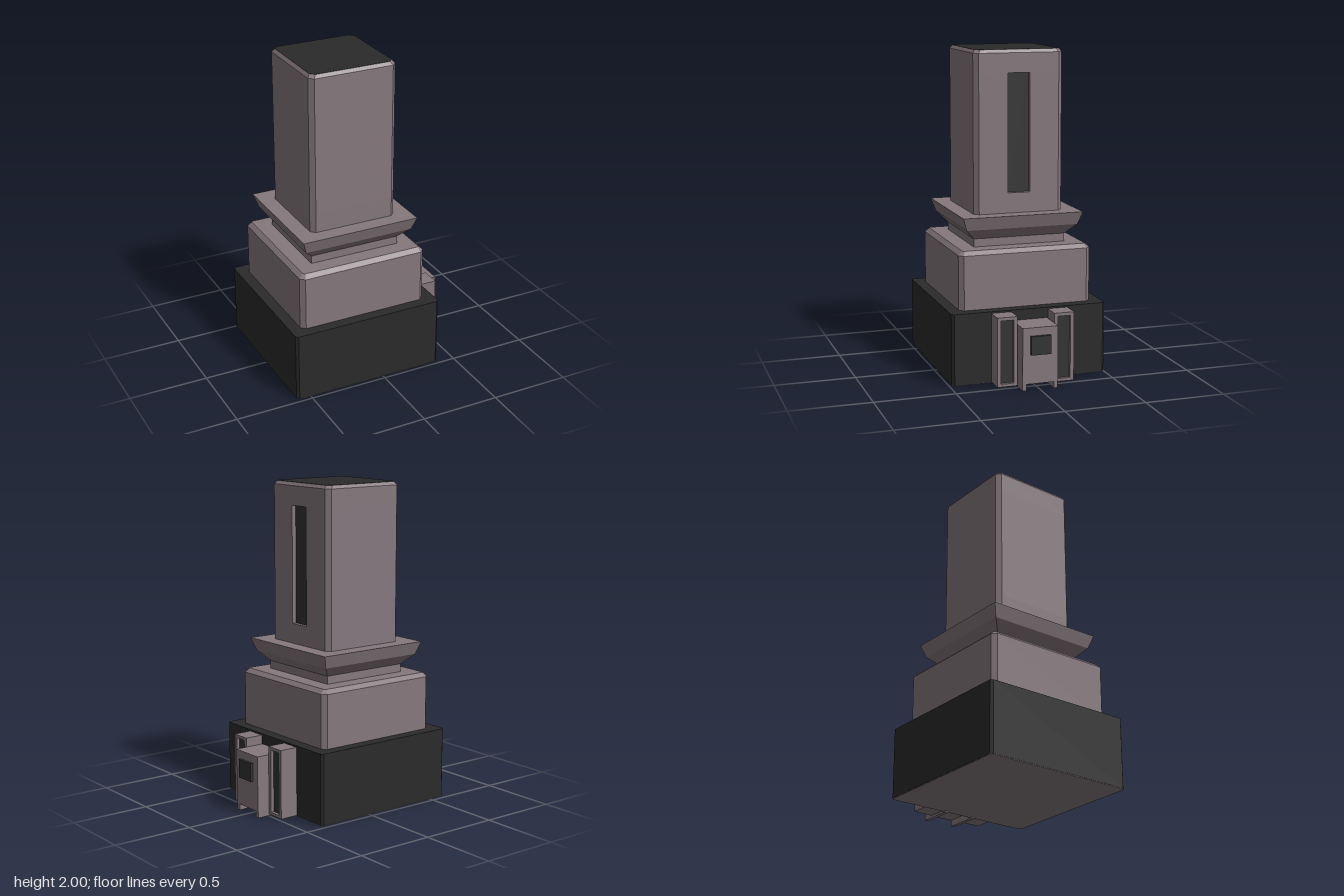
import * as THREE from 'three';

const mat = (color) => new THREE.MeshStandardMaterial({ color, flatShading: true });
const mauve = mat(0x85787d), dark = mat(0x2a2a2a), panel = mat(0x333333);

// Square outline with cut corners, counter-clockwise
function outline(h, c) {
  if (c === 0) return [[h, -h], [h, h], [-h, h], [-h, -h]];
  const i = h - c;
  return [[h, -i], [h, i], [i, h], [-i, h], [-h, i], [-h, -i], [-i, -h], [i, -h]];
}

// Stack of square sections, each [half width, y, corner cut], closed at both ends
function loft(sections) {
  const rings = sections.map(([h, y, c]) => outline(h, c).map(([x, z]) => [x, y, z]));
  const n = rings[0].length, pos = [];
  const tri = (a, b, c) => pos.push(...a, ...b, ...c);
  for (let r = 0; r < rings.length - 1; r++) {
    for (let i = 0; i < n; i++) {
      const j = (i + 1) % n, lo = rings[r], hi = rings[r + 1];
      tri(lo[i], hi[i], hi[j]);
      tri(lo[i], hi[j], lo[j]);
    }
  }
  const first = rings[0], last = rings[rings.length - 1];
  for (let i = 1; i < n - 1; i++) {
    tri(first[0], first[i], first[i + 1]);
    tri(last[0], last[i + 1], last[i]);
  }
  const g = new THREE.BufferGeometry();
  g.setAttribute('position', new THREE.Float32BufferAttribute(pos, 3));
  g.computeVertexNormals();
  return g;
}

function add(parent, name, geometry, material) {
  const m = new THREE.Mesh(geometry, material);
  m.name = name;
  parent.add(m);
  return m;
}

// Box given by its limits
function box(parent, name, material, x0, x1, y0, y1, z0, z1) {
  const m = add(parent, name, new THREE.BoxGeometry(x1 - x0, y1 - y0, z1 - z0), material);
  m.position.set((x0 + x1) / 2, (y0 + y1) / 2, (z0 + z1) / 2);
  return m;
}

export function createModel() {
  const model = new THREE.Group();
  model.name = 'towerDevice';

  // Square column, offset to make room for the side fittings
  const column = new THREE.Group();
  column.name = 'column';
  column.position.x = -0.107;
  model.add(column);

  add(column, 'base', loft([[0.49, 0.012, 0.015], [0.49, 0.45, 0.015]]), dark);
  add(column, 'basePlate', loft([[0.488, 0.008, 0.015], [0.488, 0.013, 0.015]]), mauve);
  add(column, 'lowerBlock', loft([[0.42, 0.44, 0.028], [0.42, 0.785, 0.028], [0.393, 0.81, 0.012]]), mauve);
  add(column, 'flaredCollar',
    loft([[0.292, 0.80, 0], [0.292, 0.86, 0], [0.355, 0.925, 0], [0.382, 1.005, 0]]), mauve);

  // Tower in three levels; the middle one is notched for the window slot
  const h = 0.282, cut = 0.028, y0 = 1.13, y1 = 1.86, slot = 0.07, depth = 0.03;
  add(column, 'towerLower', loft([[h, 0.99, cut], [h, y0, cut]]), mauve);
  add(column, 'towerUpper', loft([[h, y1, cut], [h, 1.98, cut], [0.267, 2.0, 0.028]]), mauve);
  const plan = outline(h, cut);
  plan.splice(1, 0, [h, -slot], [h - depth, -slot], [h - depth, slot], [h, slot]);
  const middle = new THREE.ExtrudeGeometry(
    new THREE.Shape(plan.map(([x, y]) => new THREE.Vector2(x, y))),
    { depth: y1 - y0, bevelEnabled: false });
  middle.rotateX(-Math.PI / 2).translate(0, y0, 0);
  add(column, 'towerMiddle', middle, mauve);
  box(column, 'windowSlot', panel, h - depth - 0.01, h - depth + 0.003, y0, y1, -slot, slot);
  add(column, 'towerCap', loft([[0.266, 1.995, 0.028], [0.266, 2.001, 0.028]]), dark);

  // Fittings on the +x side
  const fittings = new THREE.Group();
  fittings.name = 'sideFittings';
  model.add(fittings);

  for (const s of [-1, 1]) {
    // Post with a recessed panel, drawn in the z-y plane and extruded along x
    const post = new THREE.Group();
    post.name = s > 0 ? 'frontPost' : 'backPost';
    post.position.z = s * 0.18;
    fittings.add(post);
    const rect = (w, a, b) => [[-w, a], [w, a], [w, b], [-w, b]].map(([x, y]) => new THREE.Vector2(x, y));
    const shape = new THREE.Shape(rect(0.063, 0.012, 0.44));
    shape.holes.push(new THREE.Path(rect(0.04, 0.03, 0.42)));
    const frame = new THREE.ExtrudeGeometry(shape, { depth: 0.13, bevelEnabled: false });
    frame.rotateY(Math.PI / 2).translate(0.37, 0, 0);
    add(post, 'postFrame', frame, mauve);
    box(post, 'postPanel', panel, 0.375, 0.48, 0.03, 0.42, -0.04, 0.04);

    // Thin skid under the central housing
    const z = s * 0.099;
    box(fittings, 'skid', mauve, 0.36, 0.575, 0, 0.045, z - 0.012, z + 0.012);
  }

  box(fittings, 'housing', mauve, 0.37, 0.578, 0.04, 0.385, -0.111, 0.111);
  box(fittings, 'button', panel, 0.57, 0.596, 0.22, 0.335, -0.062, 0.062);

  return model;
}
